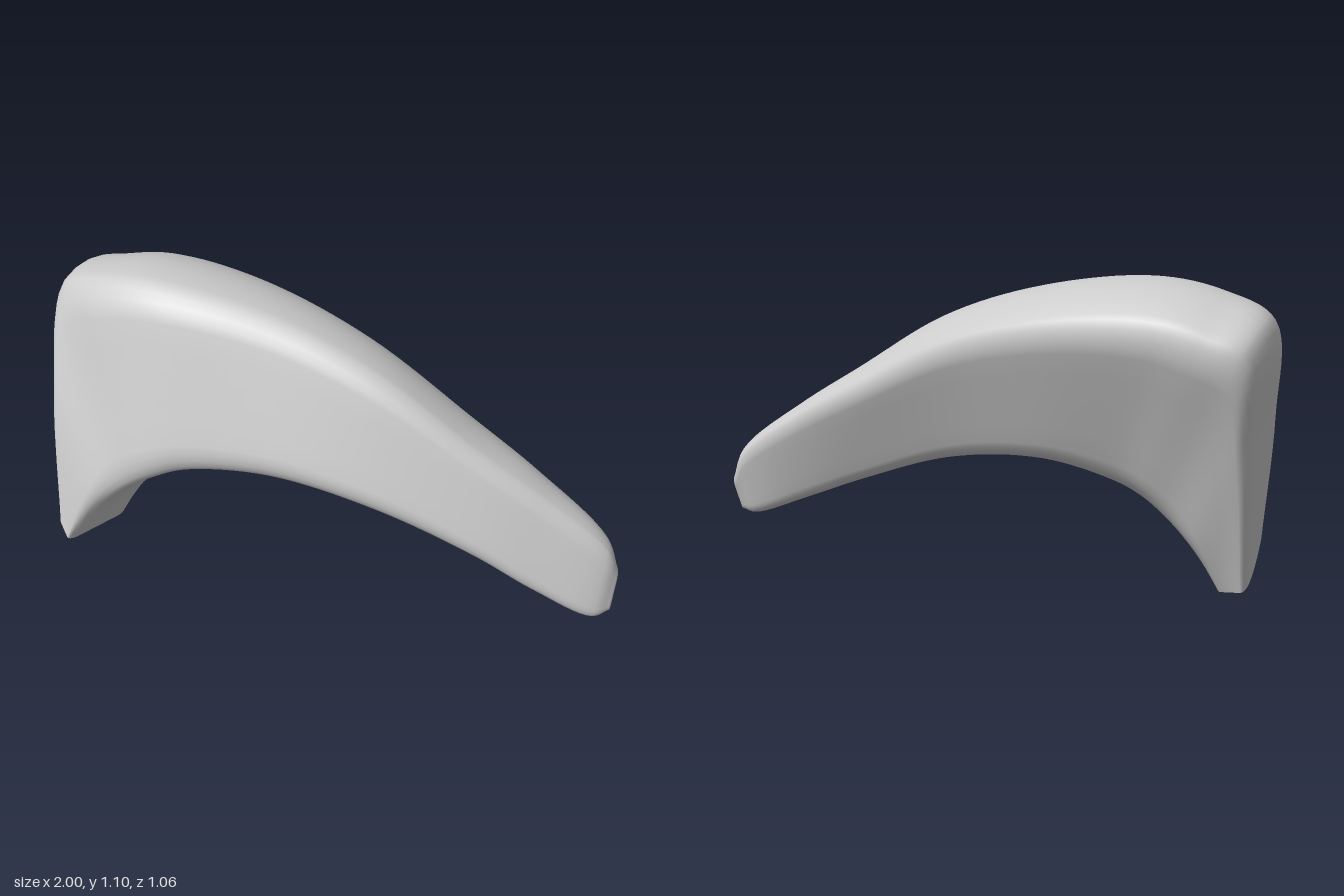
import * as THREE from 'three';

// Cross-sections from the narrow tip, over the arch, down to the foot.
// Corners: front outer, front inner, back inner, back outer.
const SECTIONS = [
  [[0.995, 0.27, 0.465], [0.975, 0.14, 0.505], [0.975, 0.135, 0.44], [1.0, 0.25, 0.41]],
  [[0.945, 0.37, 0.475], [0.91, 0.13, 0.535], [0.92, 0.125, 0.405], [0.955, 0.36, 0.36]],
  [[0.72, 0.55, 0.435], [0.7, 0.24, 0.52], [0.7, 0.2, 0.34], [0.72, 0.54, 0.225]],
  [[0.5, 0.7, 0.385], [0.5, 0.36, 0.485], [0.48, 0.285, 0.265], [0.5, 0.67, 0.1]],
  [[0.17, 0.92, 0.27], [0.17, 0.49, 0.41], [0.14, 0.405, 0.105], [0.15, 0.86, -0.1]],
  [[-0.18, 1.05, 0.13], [-0.2, 0.555, 0.31], [-0.18, 0.43, -0.05], [-0.2, 0.95, -0.31]],
  [[-0.57, 1.1, 0.0], [-0.5, 0.52, 0.23], [-0.42, 0.365, -0.125], [-0.5, 0.96, -0.47]],
  [[-0.8, 1.06, -0.11], [-0.63, 0.46, 0.2], [-0.51, 0.32, -0.16], [-0.64, 0.92, -0.53]],
  [[-0.955, 0.97, -0.21], [-0.73, 0.39, 0.17], [-0.59, 0.25, -0.18], [-0.76, 0.86, -0.56]],
  [[-1.0, 0.62, -0.09], [-0.84, 0.28, 0.135], [-0.69, 0.14, -0.205], [-0.82, 0.55, -0.46]],
  [[-1.0, 0.15, 0.04], [-0.965, 0.08, 0.085], [-0.79, 0.0, -0.18], [-0.875, 0.03, -0.28]],
];

// Rounded square in (u, v): u runs back to front, v inner to outer
function roundedSquare(radius, arcSteps, sideSteps) {
  const pts = [], k = 1 - radius;
  for (let q = 0; q < 4; q++) {
    const cu = (q === 0 || q === 3) ? k : -k, cv = q < 2 ? k : -k;
    for (let i = 0; i <= arcSteps; i++) {
      const a = (q + i / arcSteps) * Math.PI / 2;
      pts.push(new THREE.Vector2(cu + radius * Math.cos(a), cv + radius * Math.sin(a)));
    }
    // points along the straight side that follows this corner
    const end = pts[pts.length - 1].clone();
    const a = (q + 1) * Math.PI / 2;
    const dir = new THREE.Vector2(-Math.sin(a), Math.cos(a));
    for (let i = 1; i < sideSteps; i++) {
      pts.push(end.clone().addScaledVector(dir, 2 * k * i / sideSteps));
    }
  }
  return pts;
}

function loftGeometry(steps) {
  const rails = [0, 1, 2, 3].map(c =>
    new THREE.CatmullRomCurve3(SECTIONS.map(s => new THREE.Vector3(...s[c]))));
  const ring = roundedSquare(0.32, 5, 5);
  const n = ring.length, pos = [], index = [];

  for (let i = 0; i <= steps; i++) {
    const [fo, fi, bi, bo] = rails.map(r => r.getPoint(i / steps));
    for (const { x: u, y: v } of ring) {
      const f = (u + 1) / 2;
      const inner = bi.clone().lerp(fi, f);
      const outer = bo.clone().lerp(fo, f);
      // slight crown on the outer side
      const crown = 0.1 * (1 - u * u) * Math.max(v, 0);
      pos.push(...inner.lerp(outer, (v + 1) / 2 + crown).toArray());
    }
  }
  for (let i = 0; i < steps; i++) {
    for (let j = 0; j < n; j++) {
      const a = i * n + j, c = i * n + (j + 1) % n;
      index.push(a, c, a + n, c, c + n, a + n);
    }
  }
  // the tip cap shares its rim and stays smooth; the foot cap has a crisp rim
  for (const [row, foot] of [[0, false], [steps, true]]) {
    const rim = [], centre = new THREE.Vector3();
    for (let j = 0; j < n; j++) {
      const p = new THREE.Vector3().fromArray(pos, (row * n + j) * 3);
      centre.addScaledVector(p, 1 / n);
      rim.push(foot ? pos.length / 3 : row * n + j);
      if (foot) pos.push(...p.toArray());
    }
    const hub = pos.length / 3;
    pos.push(...centre.toArray());
    for (let j = 0; j < n; j++) {
      const a = rim[j], b = rim[(j + 1) % n];
      index.push(hub, ...(foot ? [a, b] : [b, a]));
    }
  }
  const geo = new THREE.BufferGeometry();
  geo.setAttribute('position', new THREE.Float32BufferAttribute(pos, 3));
  geo.setIndex(index);
  geo.computeVertexNormals();
  return geo;
}

export function createModel() {
  const group = new THREE.Group();
  group.name = 'curvedHook';
  const body = new THREE.Mesh(
    loftGeometry(80),
    new THREE.MeshStandardMaterial({ color: 0xcccccc }));
  body.name = 'archedBody';
  group.add(body);
  return group;
}
